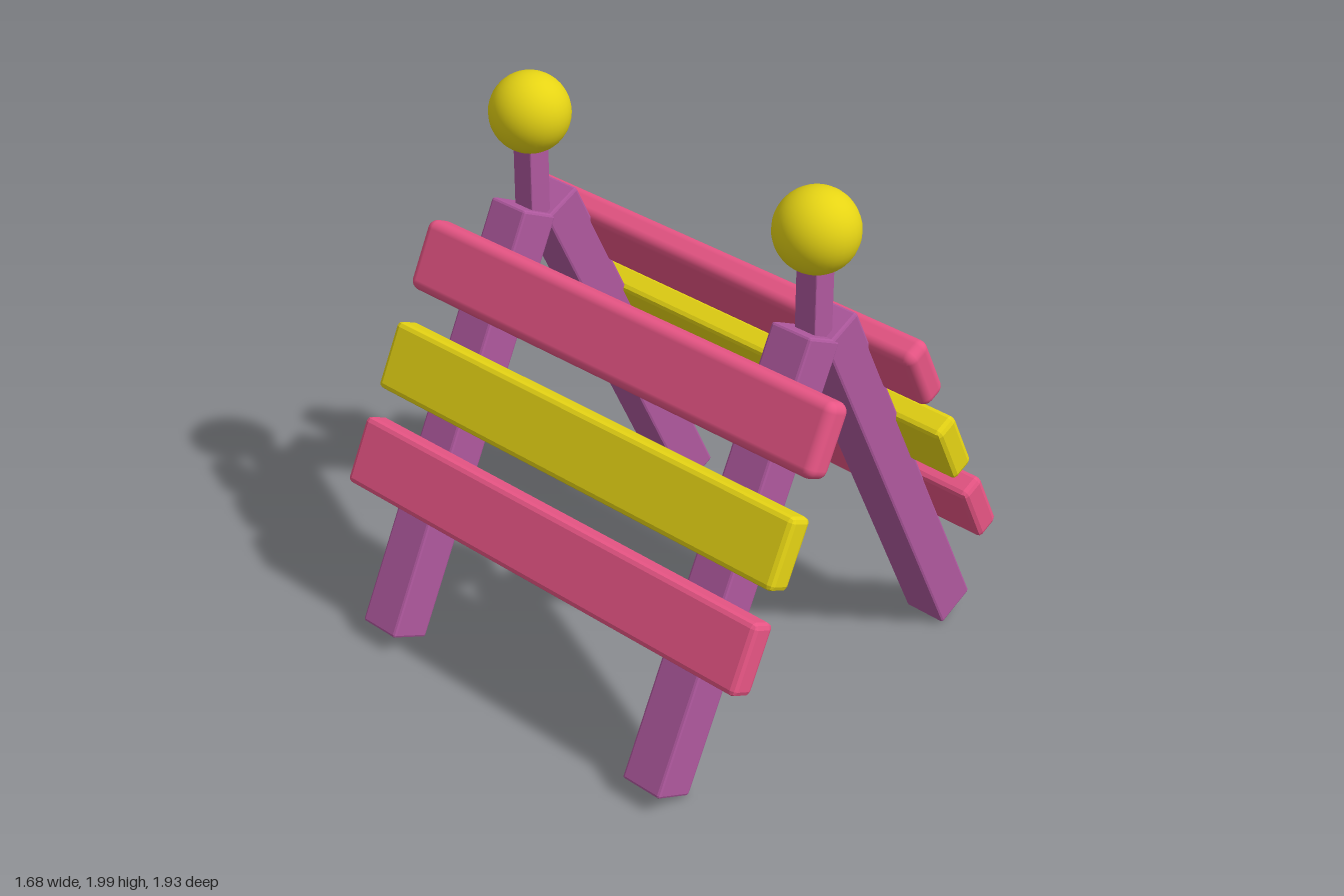
import * as THREE from 'three';
import { RoundedBoxGeometry } from 'three/addons/geometries/RoundedBoxGeometry.js';

const paint = (color, flatShading = true) => new THREE.MeshStandardMaterial({ color, flatShading });
const purple = paint(0xb0599f);
const pink = paint(0xe85585);
const softPink = paint(0xe85585, false);
const yellow = paint(0xe6d414);
const smoothYellow = paint(0xe6d414, false);

const LEAN = THREE.MathUtils.degToRad(26.1);

// Box with eased edges: size and position are [x, y, z]
function block(parent, name, size, position, radius, segments, material, lean = 0) {
  const mesh = new THREE.Mesh(new RoundedBoxGeometry(...size, segments, radius), material);
  mesh.name = name;
  mesh.position.set(...position);
  mesh.rotation.z = lean;
  parent.add(mesh);
  return mesh;
}

// One leaning side: two legs with three boards across their outer face
function createSide(name) {
  const side = new THREE.Group();
  side.name = name;
  for (const [legName, z] of [['frontLeg', 0.645], ['backLeg', -0.662]]) {
    block(side, legName, [0.166, 1.62, 0.168], [0.41, 0.77, z], 0.01, 1, purple, LEAN);
  }
  block(side, 'topBoard', [0.108, 0.262, 1.88], [0.285, 1.305, -0.03], 0.036, 3, softPink, LEAN);
  block(side, 'middleBoard', [0.1, 0.255, 1.875], [0.447, 0.953, -0.018], 0.02, 1, yellow, LEAN);
  block(side, 'lowerBoard', [0.1, 0.255, 1.875], [0.619, 0.632, -0.02], 0.02, 1, pink, LEAN);
  return side;
}

export function createModel() {
  const model = new THREE.Group();
  model.name = 'barrier';

  model.add(createSide('leftSide'));

  // The opposite side is the same piece turned round, slightly askew
  const rightSide = createSide('rightSide');
  rightSide.rotation.y = Math.PI + 0.0185;
  rightSide.position.set(0.012, 0, -0.015);
  model.add(rightSide);

  // Posts with ball lamps where the legs meet
  for (const [end, x, z] of [['front', 0, 0.653], ['back', -0.025, -0.646]]) {
    block(model, end + 'Post', [0.088, 0.36, 0.088], [x, 1.61, z], 0.004, 1, purple);
    const lamp = new THREE.Mesh(new THREE.SphereGeometry(0.145, 32, 20), smoothYellow);
    lamp.name = end + 'Lamp';
    lamp.position.set(x, 1.855, z);
    model.add(lamp);
  }
  return model;
}
